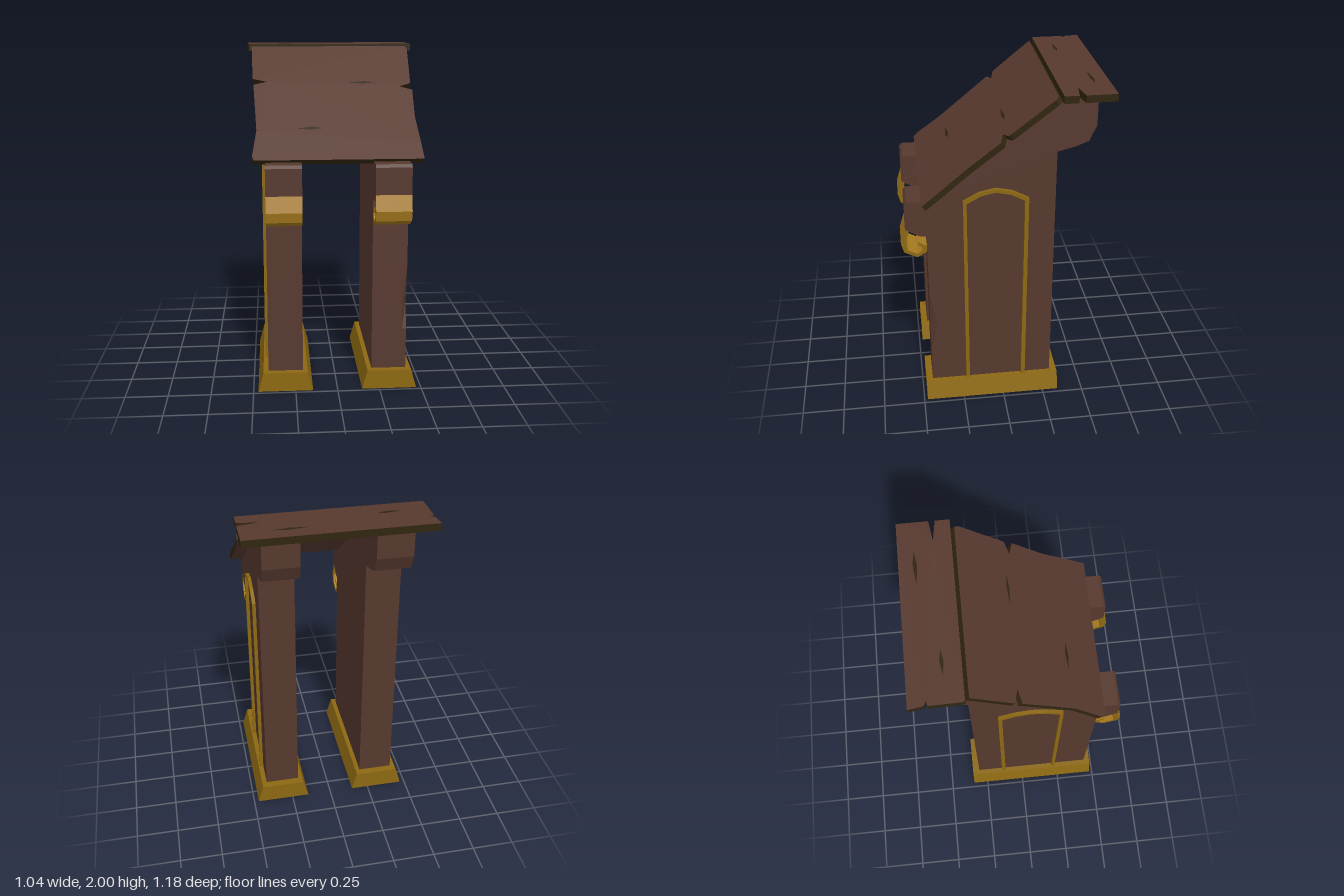
import * as THREE from 'three';

const mat = (name, color) => {
  const m = new THREE.MeshStandardMaterial({ color, flatShading: true });
  m.name = name;
  return m;
};

export function createModel() {
  const wood = mat('brown wood', 0x57392f);
  const edge = mat('dark wood edge', 0x30250f);
  const gold = mat('old gold', 0x8c6812);
  const brass = mat('bright brass', 0xa87c20);

  const model = new THREE.Group();
  model.name = 'lectern';

  const add = (name, geometry, material, parent = model) => {
    const mesh = new THREE.Mesh(geometry, material);
    mesh.name = name;
    parent.add(mesh);
    return mesh;
  };
  const shapeOf = (pts) => new THREE.Shape(pts.map(([a, b]) => new THREE.Vector2(a, b)));

  // Extrudes a side profile given as [z, y] along x
  const sideExtrude = (pts, x0, depth, steps = 1) => {
    const g = new THREE.ExtrudeGeometry(shapeOf(pts.map(([z, y]) => [-z, y])), { depth, steps, bevelEnabled: false });
    return g.rotateY(Math.PI / 2).translate(x0, 0, 0);
  };

  const inner = 0.205, outer = 0.41, width = outer - inner;

  // Side panel profile with the front bracket and the rear bracket
  const panel = (dented) => [
    [-0.3, 0.1], [0.44, 0.1],
    ...(dented ? [[0.44, 0.36], [0.415, 0.52], [0.44, 0.76]] : []),
    [0.44, 1.15], [0.475, 1.15], [0.56, 1.2], [0.56, 1.355], [0.545, 1.372], [0.44, 1.372],
    [0.43, 1.362], [-0.3, 1.955], [-0.515, 1.96], [-0.515, 1.78], [-0.475, 1.69], [-0.4, 1.66], [-0.3, 1.635],
  ];

  // Chips the front outer corner of one panel
  const chipCorner = (g) => {
    const p = g.attributes.position;
    for (let i = 0; i < p.count; i++) {
      const x = p.getX(i);
      if (Math.abs(p.getY(i) - 0.52) < 0.001 && Math.abs(p.getZ(i) - 0.415) < 0.001) {
        p.setZ(i, x > outer - 0.01 ? 0.4 : 0.44);
      }
      if (x > inner + 0.01 && x < outer - 0.01) p.setX(i, 0.385);
    }
    g.computeVertexNormals();
    return g;
  };

  // Arched trim outline, outside then inside
  const trimOuter = [[0.23, 0.1], [0.23, 1.365], [0.14, 1.415], [0.045, 1.435], [-0.05, 1.415], [-0.145, 1.365], [-0.14, 0.1]];
  const trimInner = [[0.208, 0.1], [0.21, 1.35], [0.13, 1.395], [0.045, 1.413], [-0.04, 1.395], [-0.122, 1.35], [-0.115, 0.1]];
  const trim = [...trimOuter, ...trimInner.reverse()];

  // Curled metal strip, outside then inside
  const curlOuter = [[0.56, 1.2], [0.588, 1.11], [0.572, 1.052], [0.497, 1.015], [0.443, 1.045], [0.438, 1.085], [0.495, 1.118]];
  const curlInner = [[0.54, 1.185], [0.563, 1.11], [0.55, 1.065], [0.497, 1.037], [0.465, 1.058], [0.463, 1.078], [0.485, 1.092]];
  const curl = [...curlOuter, ...curlInner.reverse()];

  for (const [side, s] of [['left', 1], ['right', -1]]) {
    const half = new THREE.Group();
    half.name = side + 'Support';
    model.add(half);
    const x0 = s > 0 ? inner : -outer;
    const panelGeo = s > 0 ? chipCorner(sideExtrude(panel(true), x0, width, 2)) : sideExtrude(panel(false), x0, width);
    add(side + 'Panel', panelGeo, wood, half);
    add(side + 'ArchTrim', sideExtrude(trim, s > 0 ? outer : -outer - 0.02, 0.02), gold, half);
    add(side + 'Scroll', sideExtrude(curl, x0, width), [gold, brass], half);

    // Sloped foot
    const foot = new THREE.ExtrudeGeometry(
      shapeOf([[-0.163, 0], [0.163, 0], [0.131, 0.115], [-0.131, 0.115]]), { depth: 0.825, bevelEnabled: false });
    foot.translate(s * 0.309, 0, -0.345);
    add(side + 'Foot', foot, gold, half);
  }

  // A plank drawn in its own plane: wood faces, dark rim, and thin dark cracks
  const plank = (name, outline, thickness, cracks) => {
    const group = new THREE.Group();
    group.name = name;
    const g = new THREE.ExtrudeGeometry(shapeOf(outline), { depth: thickness, bevelEnabled: false });
    add(name + 'Board', g.translate(0, 0, -thickness), [wood, edge], group);
    for (const [x, y, len, h] of cracks) {
      const c = new THREE.ShapeGeometry(shapeOf([[x - len, y - h * 0.2], [x + len * 0.1, y - h], [x + len, y], [x + len * 0.2, y + h]]));
      add(name + 'Crack', c.translate(0, 0, 0.001), edge, group);
    }
    model.add(group);
    return group;
  };

  // Sloping reading board with split edges
  const slope = plank('readingBoard', [
    [-0.47, 0], [0.493, 0], [0.488, 0.12], [0.475, 0.33], [0.485, 0.56], [0.41, 0.588], [0.475, 0.615],
    [0.48, 0.63], [0.492, 0.93], [0.48, 0.956], [-0.487, 0.956], [-0.48, 0.66], [-0.395, 0.635],
    [-0.475, 0.61], [-0.457, 0.23], [-0.482, 0.03],
  ], 0.035, [[-0.15, 0.245, 0.08, 0.012], [0.18, 0.625, 0.09, 0.01]]);
  slope.position.set(0, 1.387, 0.463);
  slope.rotation.x = -Math.atan2(0.78, 0.6255);

  // Flat top shelf at the back
  const shelf = plank('topShelf', [
    [-0.505, 0.303], [0.52, 0.303], [0.52, 0.383], [0.4, 0.4], [0.52, 0.418], [0.52, 0.592],
    [-0.523, 0.592], [-0.51, 0.508], [-0.487, 0.497], [-0.512, 0.488], [-0.51, 0.32],
  ], 0.042, [[-0.29, 0.405, 0.07, 0.012], [0.25, 0.505, 0.1, 0.012]]);
  shelf.position.y = 1.999;
  shelf.rotation.x = -Math.PI / 2;

  return model;
}
